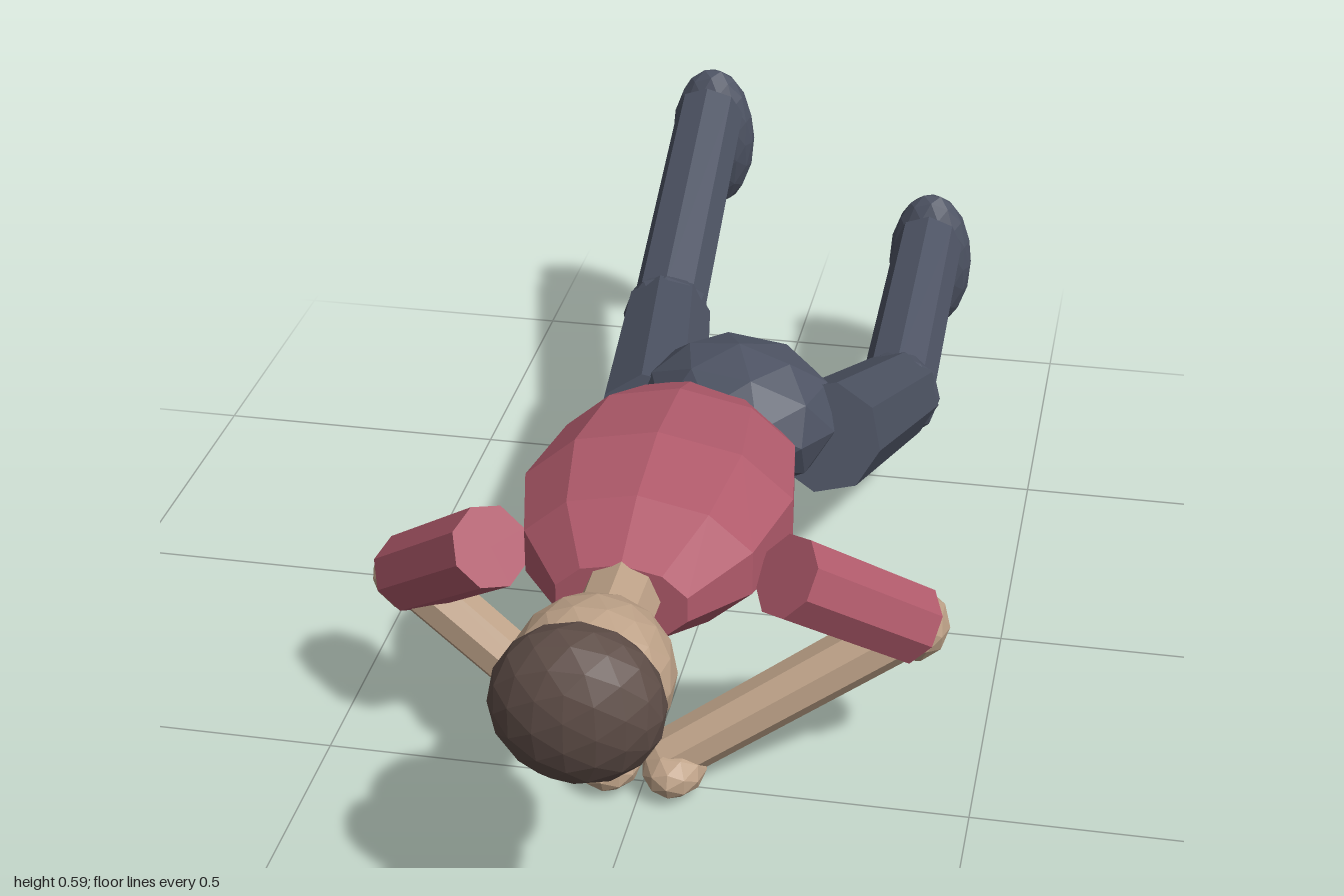
import * as THREE from 'three';

const mat = (name, color) => Object.assign(new THREE.MeshStandardMaterial({ color, flatShading: true }), { name });

export function createModel() {
  const root = new THREE.Group();
  root.name = 'proneFigure';
  const skin = mat('skin', 0xbea288);
  const shirt = mat('shirt', 0xb05a6b);
  const trousers = mat('trousers', 0x4d5363);
  const hair = mat('hair', 0x5e4d47);
  const eyeDark = mat('eyeDark', 0x2e2622);

  const add = (name, geo, material) => {
    const m = new THREE.Mesh(geo, material);
    m.name = name;
    root.add(m);
    return m;
  };
  // faceted ellipsoid
  const blob = (name, material, pos, radii, detail = 1) => {
    const m = add(name, new THREE.IcosahedronGeometry(1, detail), material);
    m.position.set(...pos);
    m.scale.set(...radii);
    return m;
  };
  // tapered eight-sided limb between two points
  const limb = (name, material, a, b, ra, rb) => {
    const p = new THREE.Vector3(...a), q = new THREE.Vector3(...b);
    const d = q.clone().sub(p);
    const m = add(name, new THREE.CylinderGeometry(rb, ra, d.length(), 8), material);
    m.position.copy(p).add(q).multiplyScalar(0.5);
    m.quaternion.setFromUnitVectors(new THREE.Vector3(0, 1, 0), d.normalize());
    return m;
  };

  // torso: faceted barrel lying along z, flat at the neck
  const profile = [[0, 0.07], [0.6, 0.1], [0.88, 0.2], [1, 0.37], [0.83, 0.52], [0.47, 0.635], [0, 0.635]];
  const torso = new THREE.LatheGeometry(profile.map(([r, z]) => new THREE.Vector2(r, z)), 10);
  torso.rotateX(Math.PI / 2);
  torso.scale(0.215, 0.135, 1);
  add('torso', torso, shirt).position.y = 0.411;

  // hips, shifted and turned a little
  blob('hips', trousers, [0.065, 0.415, 0.045], [0.165, 0.12, 0.14]).rotation.y = -0.25;

  // neck and head, face down
  limb('neck', skin, [0, 0.42, 0.58], [0, 0.42, 0.76], 0.058, 0.055);
  blob('head', skin, [0, 0.415, 0.825], [0.117, 0.11, 0.125], 2);
  blob('hair', hair, [0, 0.427, 0.913], [0.123, 0.118, 0.087], 2);

  for (const s of [-1, 1]) {
    const side = s > 0 ? 'left' : 'right';
    blob(side + 'Eye', eyeDark, [s * 0.043, 0.316, 0.86], [0.014, 0.01, 0.014]);

    // arms: elbows out, hands meeting under the chest
    const elbow = [s * 0.39, 0.267, 0.387];
    limb(side + 'UpperArm', shirt, [s * 0.22, 0.415, 0.525], elbow, 0.065, 0.063);
    blob(side + 'Elbow', skin, elbow, [0.058, 0.058, 0.058]);
    limb(side + 'Forearm', skin, elbow, [s * 0.035, 0.055, 0.502], 0.046, 0.042);
    blob(side + 'Hand', skin, [s * 0.05, 0.045, 0.507], [0.05, 0.04, 0.066]);
  }

  // legs: each bent at the knee, one raised higher
  const legs = [
    { side: 'right', hip: [-0.075, 0.385, 0.07], knee: [-0.153, 0.318, -0.45], ankle: [-0.16, 0.523, -0.905], foot: [-0.16, 0.457, -0.942] },
    { side: 'left', hip: [0.21, 0.4, 0.08], knee: [0.262, 0.21, -0.435], ankle: [0.265, 0.307, -0.865], foot: [0.265, 0.25, -0.91] },
  ];
  for (const { side, hip, knee, ankle, foot } of legs) {
    limb(side + 'Thigh', trousers, hip, knee, 0.09, 0.078);
    blob(side + 'Knee', trousers, knee, [0.078, 0.078, 0.078]);
    limb(side + 'Shin', trousers, knee, ankle, 0.066, 0.062);
    blob(side + 'Foot', trousers, foot, [0.078, 0.14, 0.054], 2).rotation.x = 0.06;
  }
  return root;
}
